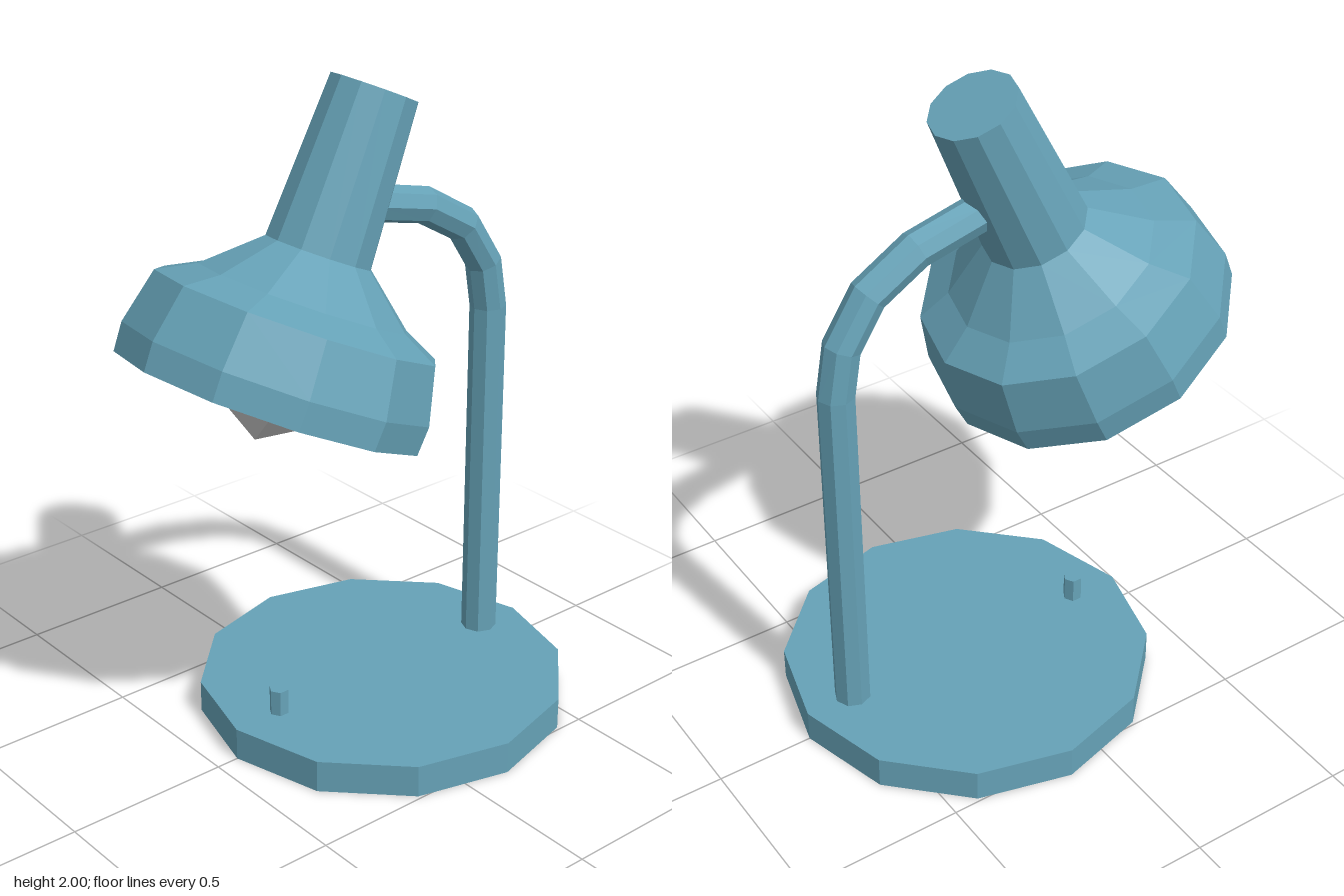
import * as THREE from 'three';

// Polyline path with one tube ring per point and mitred corners
class Polyline extends THREE.Curve {
  constructor(points) {
    super();
    this.points = points;
  }
  getPoint(t, target = new THREE.Vector3()) {
    const f = Math.min(Math.max(t, 0), 1) * (this.points.length - 1);
    const i = Math.min(Math.floor(f), this.points.length - 2);
    return target.lerpVectors(this.points[i], this.points[i + 1], f - i);
  }
  getPointAt(u, target) {
    return this.getPoint(u, target);
  }
  getTangentAt(u, target) {
    return this.getTangent(u, target);
  }
}

export function createModel() {
  const paint = new THREE.MeshStandardMaterial({ color: 0x66a2b7, flatShading: true });
  paint.name = 'blue paint';
  const glass = new THREE.MeshStandardMaterial({ color: 0xcccccc, flatShading: true });
  glass.name = 'bulb glass';

  const model = new THREE.Group();
  model.name = 'deskLamp';
  const add = (parent, name, geometry, material, x = 0, y = 0, z = 0) => {
    const mesh = new THREE.Mesh(geometry, material);
    mesh.name = name;
    mesh.position.set(x, y, z);
    parent.add(mesh);
    return mesh;
  };

  // Base disc and switch
  add(model, 'base', new THREE.CylinderGeometry(0.565, 0.565, 0.1, 12), paint, 0, 0.05, -0.135);
  add(model, 'switchButton', new THREE.CylinderGeometry(0.03, 0.03, 0.1, 6), paint, 0, 0.13, 0.27);

  // Bent arm, given as [y, z]
  const path = [
    [0.08, -0.545], [1.2, -0.545], [1.345, -0.52], [1.48, -0.432], [1.57, -0.28], [1.62, -0.07],
  ].map(([y, z]) => new THREE.Vector3(0, y, z));
  add(model, 'arm', new THREE.TubeGeometry(new Polyline(path), path.length - 1, 0.055, 8), paint);

  // Tilted head; its origin is the centre of the top cap
  const head = new THREE.Group();
  head.name = 'head';
  head.position.set(0, 1.945, -0.093);
  head.rotation.x = THREE.MathUtils.degToRad(-25);
  model.add(head);

  // Shade profile [radius, y]: inside, rim, outside, neck, cap
  const profile = [
    [0, -0.52], [0.13, -0.52], [0.29, -0.65], [0.35, -0.905],
    [0.453, -0.905], [0.458, -0.82], [0.418, -0.658], [0.31, -0.605],
    [0.157, -0.475], [0.13, 0], [0, 0],
  ].map(([r, y]) => new THREE.Vector2(r, y));
  add(head, 'shade', new THREE.LatheGeometry(profile, 12), paint);

  // Socket and faceted bulb, one corner pointing down the axis
  add(head, 'socket', new THREE.CylinderGeometry(0.08, 0.08, 0.18, 8), paint, 0, -0.6, 0);
  const bulb = new THREE.IcosahedronGeometry(0.2, 0);
  bulb.rotateZ(THREE.MathUtils.degToRad(-31.72));
  bulb.rotateY(THREE.MathUtils.degToRad(74));
  add(head, 'bulb', bulb, glass, 0, -0.826, 0);

  return model;
}
